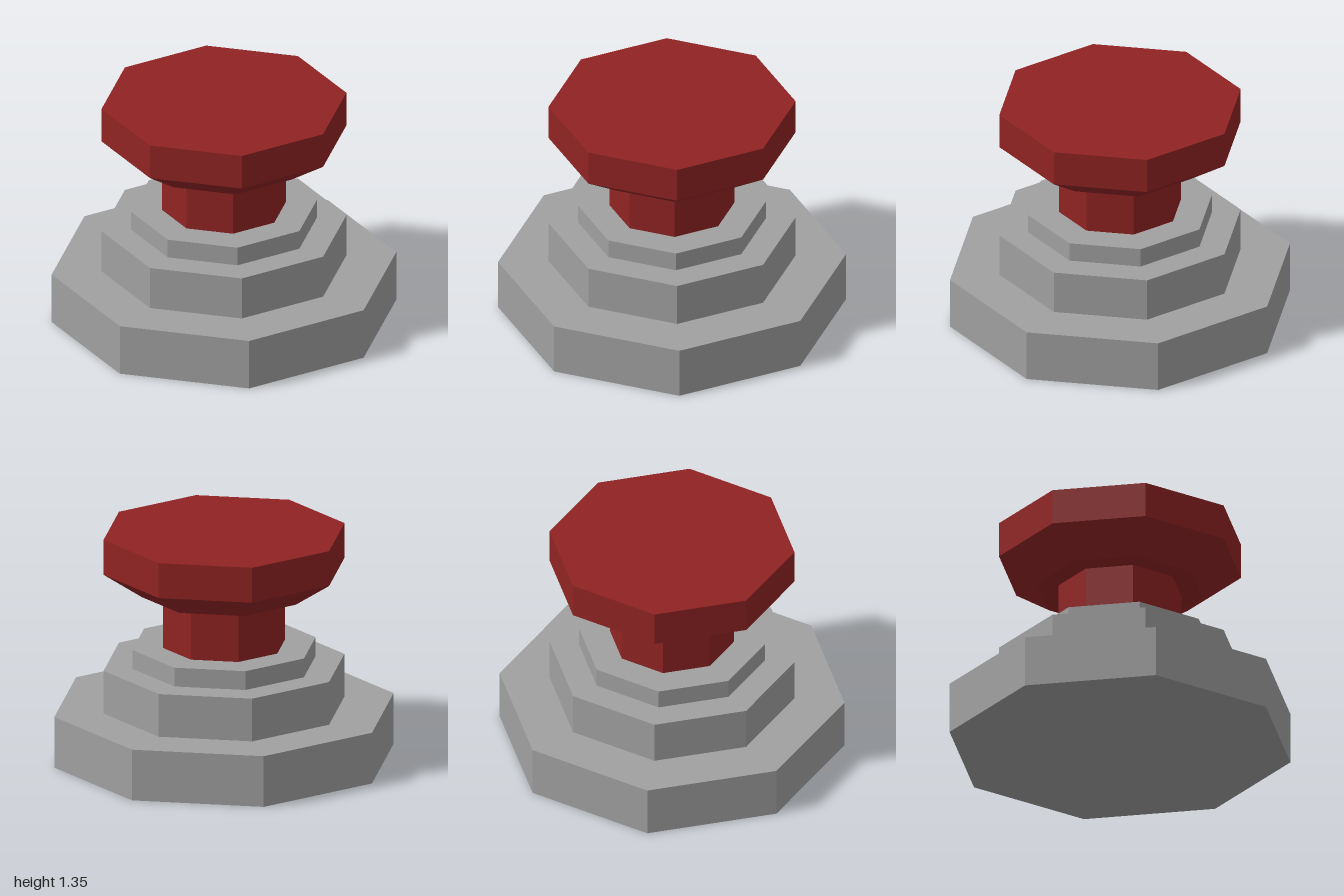
import * as THREE from 'three';

export function createModel() {
  const model = new THREE.Group();
  model.name = 'pushButton';

  const grey = new THREE.MeshStandardMaterial({ color: 0xa0a0a0 });
  grey.name = 'grey';
  const red = new THREE.MeshStandardMaterial({ color: 0x902323 });
  red.name = 'red';
  for (const m of [grey, red]) m.flatShading = true;

  // Octagonal tier from height y0 to y1, with corners on the x and z axes
  function tier(name, material, y0, y1, bottomRadius, topRadius = bottomRadius, open = false) {
    const geometry = new THREE.CylinderGeometry(topRadius, bottomRadius, y1 - y0, 8, 1, open);
    const mesh = new THREE.Mesh(geometry, material);
    mesh.name = name;
    mesh.position.y = (y0 + y1) / 2;
    model.add(mesh);
  }

  // Stepped base
  tier('baseLower', grey, 0, 0.305, 1);
  tier('baseMiddle', grey, 0.305, 0.562, 0.71);
  tier('baseUpper', grey, 0.562, 0.675, 0.54);

  // Plunger stem
  tier('stem', red, 0.675, 0.99, 0.36);

  // Button head: flared underside and straight rim
  tier('headFlare', red, 0.99, 1.14, 0.485, 0.71);
  tier('headRim', red, 1.14, 1.35, 0.71);

  return model;
}
